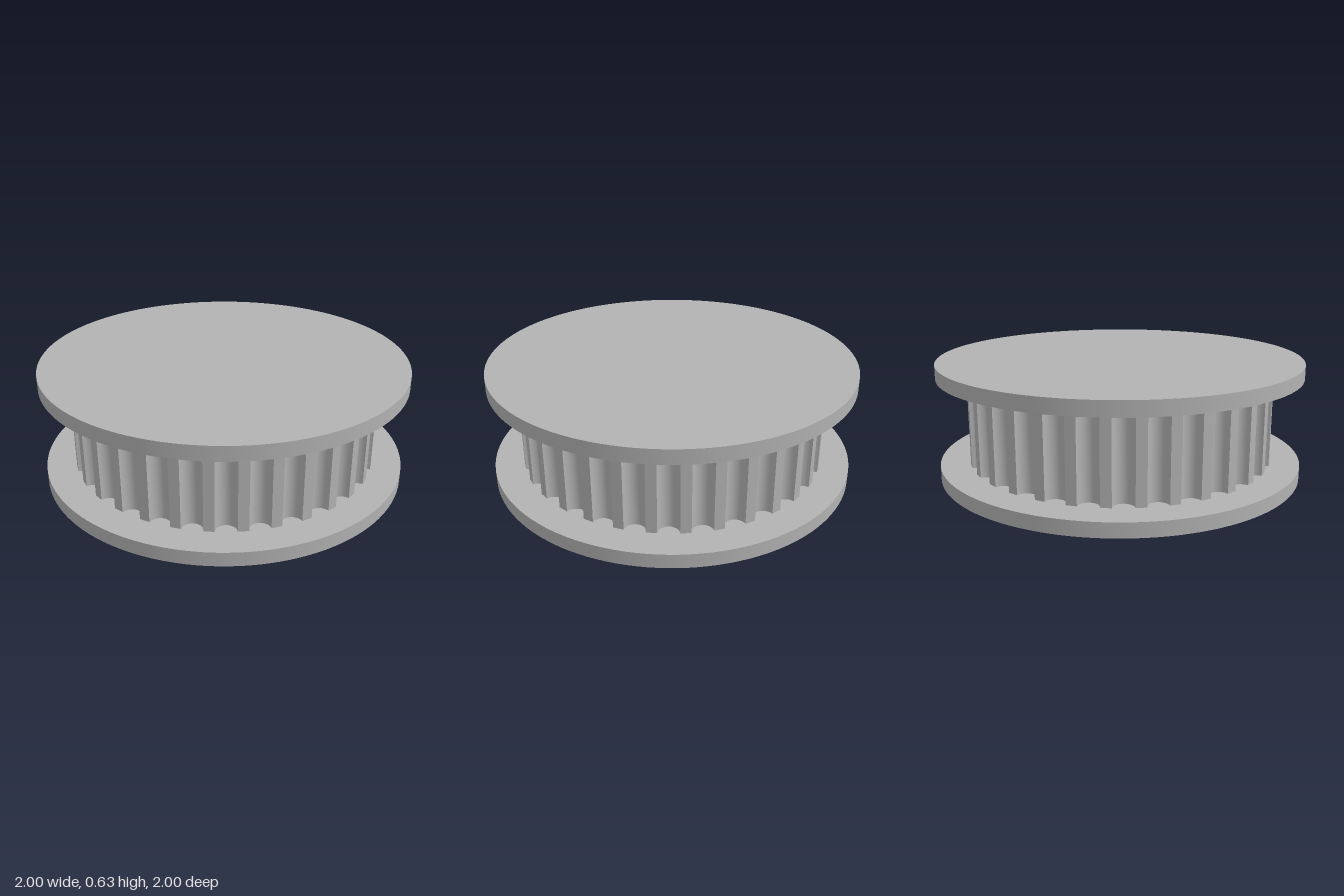
import * as THREE from 'three';
import { toCreasedNormals } from 'three/addons/utils/BufferGeometryUtils.js';

const TEETH = 32;
const CORE_RADIUS = 0.84;
const GROOVE_RADIUS = 0.055;
const FLANGE_HEIGHT = 0.077;
const TOTAL_HEIGHT = 0.632;

export function createModel() {
  const group = new THREE.Group();
  group.name = 'timingPulley';
  const metal = new THREE.MeshStandardMaterial({ color: 0xb2b2b2 });
  metal.name = 'grey metal';

  // Flanges: two plain discs
  const flangeGeometry = new THREE.CylinderGeometry(1, 1, FLANGE_HEIGHT, 128);
  for (const [name, y] of [
    ['bottomFlange', FLANGE_HEIGHT / 2],
    ['topFlange', TOTAL_HEIGHT - FLANGE_HEIGHT / 2],
  ]) {
    const flange = new THREE.Mesh(flangeGeometry, metal);
    flange.name = name;
    flange.position.y = y;
    group.add(flange);
  }

  // Toothed core: round outline with a half-round groove at every pitch
  const steps = 12;
  const centre = Math.sqrt(CORE_RADIUS ** 2 - GROOVE_RADIUS ** 2);
  const points = [];
  for (let i = 0; i < TEETH; i++) {
    const a = (i / TEETH) * Math.PI * 2;
    for (let j = 0; j <= steps; j++) {
      const t = (j / steps) * Math.PI;
      const radial = centre - GROOVE_RADIUS * Math.sin(t);
      const across = -GROOVE_RADIUS * Math.cos(t);
      points.push(new THREE.Vector2(
        radial * Math.cos(a) - across * Math.sin(a),
        radial * Math.sin(a) + across * Math.cos(a),
      ));
    }
  }
  const coreGeometry = new THREE.ExtrudeGeometry(new THREE.Shape(points), {
    depth: TOTAL_HEIGHT - 2 * FLANGE_HEIGHT,
    bevelEnabled: false,
  });
  coreGeometry.rotateX(-Math.PI / 2);
  const core = new THREE.Mesh(toCreasedNormals(coreGeometry, 0.6), metal);
  core.name = 'toothedCore';
  core.position.y = FLANGE_HEIGHT;
  group.add(core);

  return group;
}
